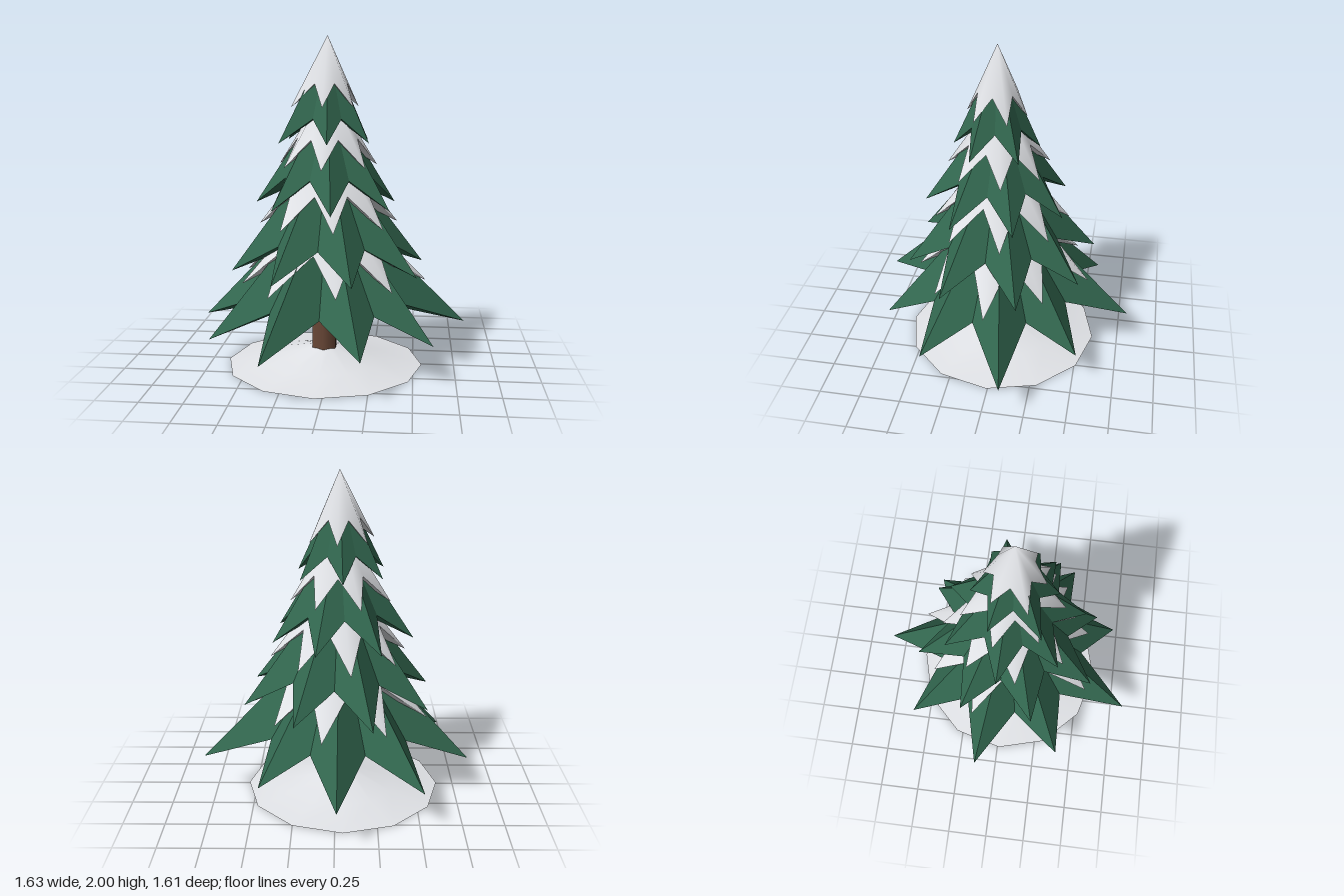
import * as THREE from 'three';

// Star-shaped cone: ridges run to the tips, furrows to the valleys, closed below by a shallow hub.
function starCone({ apex, tipY, valleyY, hubY, angles, tipR, valleyR }) {
  const ring = [];
  const n = angles.length;
  for (let i = 0; i < n; i++) {
    const a = THREE.MathUtils.degToRad(angles[i]);
    const b = a + Math.PI / n;
    ring.push([Math.cos(a) * tipR[i], tipY, -Math.sin(a) * tipR[i]]);
    ring.push([Math.cos(b) * valleyR, valleyY, -Math.sin(b) * valleyR]);
  }
  const m = ring.length;
  // upper and lower skins have their own vertices so the rim stays sharp
  const points = [[0, apex, 0], ...ring, [0, hubY, 0], ...ring];
  const index = [];
  for (let i = 0; i < m; i++) {
    const j = (i + 1) % m;
    index.push(0, 1 + i, 1 + j);
    index.push(m + 1, m + 2 + j, m + 2 + i);
  }
  const g = new THREE.BufferGeometry();
  g.setAttribute('position', new THREE.Float32BufferAttribute(points.flat(), 3));
  g.setIndex(index);
  g.computeVertexNormals();
  return g;
}

export function createModel() {
  const group = new THREE.Group();
  group.name = 'snowyTree';

  const needles = new THREE.MeshStandardMaterial({ color: 0x32674f, flatShading: true });
  needles.name = 'needle green';
  const snow = new THREE.MeshStandardMaterial({ color: 0xe6e8ec, side: THREE.DoubleSide });
  snow.name = 'snow white';
  const bark = new THREE.MeshStandardMaterial({ color: 0x6b4938 });
  bark.name = 'bark brown';

  const add = (name, geometry, material, x, y, z) => {
    const mesh = new THREE.Mesh(geometry, material);
    mesh.name = name;
    mesh.position.set(x, y, z);
    group.add(mesh);
  };

  // snow mound, open underneath
  const profile = [[0.6, 0], [0.345, 0.033], [0.075, 0.105], [0.06, 0.105]];
  add('snowMound', new THREE.LatheGeometry(profile.map(([r, y]) => new THREE.Vector2(r, y)).reverse(), 12),
    snow, -0.047, 0, 0.01);

  // six-sided trunk
  add('trunk', new THREE.CylinderGeometry(0.082, 0.082, 0.46, 6), bark, -0.047, 0.235, 0.013);

  // branch tiers from bottom to top; start is the direction of the first tip in degrees
  const tiers = [
    { apex: 1.1, tipY: 0.25, valleyY: 0.41, valleyR: 0.47, start: 9.3, x: -0.022, z: 0.022,
      tipR: [0.847, 0.715, 0.825, 0.78, 0.81, 0.76, 0.842, 0.724, 0.741] },
    { apex: 1.4, tipY: 0.62, valleyY: 0.78, valleyR: 0.36, start: 18.5, x: -0.022, z: 0.022,
      tipR: [0.6, 0.58, 0.61, 0.59, 0.59, 0.6, 0.57, 0.6] },
    { apex: 1.68, tipY: 1.0, valleyY: 1.17, valleyR: 0.26, start: 20, x: -0.022, z: 0.025,
      tipR: [0.42, 0.42, 0.45, 0.45, 0.43, 0.45, 0.44] },
    { apex: 1.96, tipY: 1.38, valleyY: 1.52, valleyR: 0.165, start: 34.5, x: -0.025, z: 0.035,
      tipR: [0.28, 0.25, 0.28, 0.325, 0.26, 0.28] },
  ];
  tiers.forEach((t, k) => {
    const n = t.tipR.length;
    const angles = t.tipR.map((_, i) => t.start + (i * 360) / n);
    add(`branchTier${k + 1}`, starCone({ ...t, angles, hubY: t.valleyY + 0.04 }), needles, t.x, 0, t.z);

    // smaller snow star lying on the tier, turned slightly off its ridges
    const ridgeY = (f) => t.apex + (t.tipY - t.apex) * f;
    const mean = t.tipR.reduce((s, r) => s + r, 0) / n;
    add(`snowCap${k + 1}`, starCone({
      apex: t.apex + 0.04,
      tipY: ridgeY(0.68) + 0.02,
      valleyY: ridgeY(0.42) + 0.005,
      hubY: ridgeY(0.42) + 0.03,
      angles: angles.map((a) => a - 9),
      tipR: t.tipR.map((r) => r * 0.7),
      valleyR: mean * 0.42,
    }), snow, t.x, 0, t.z);
  });

  return group;
}
